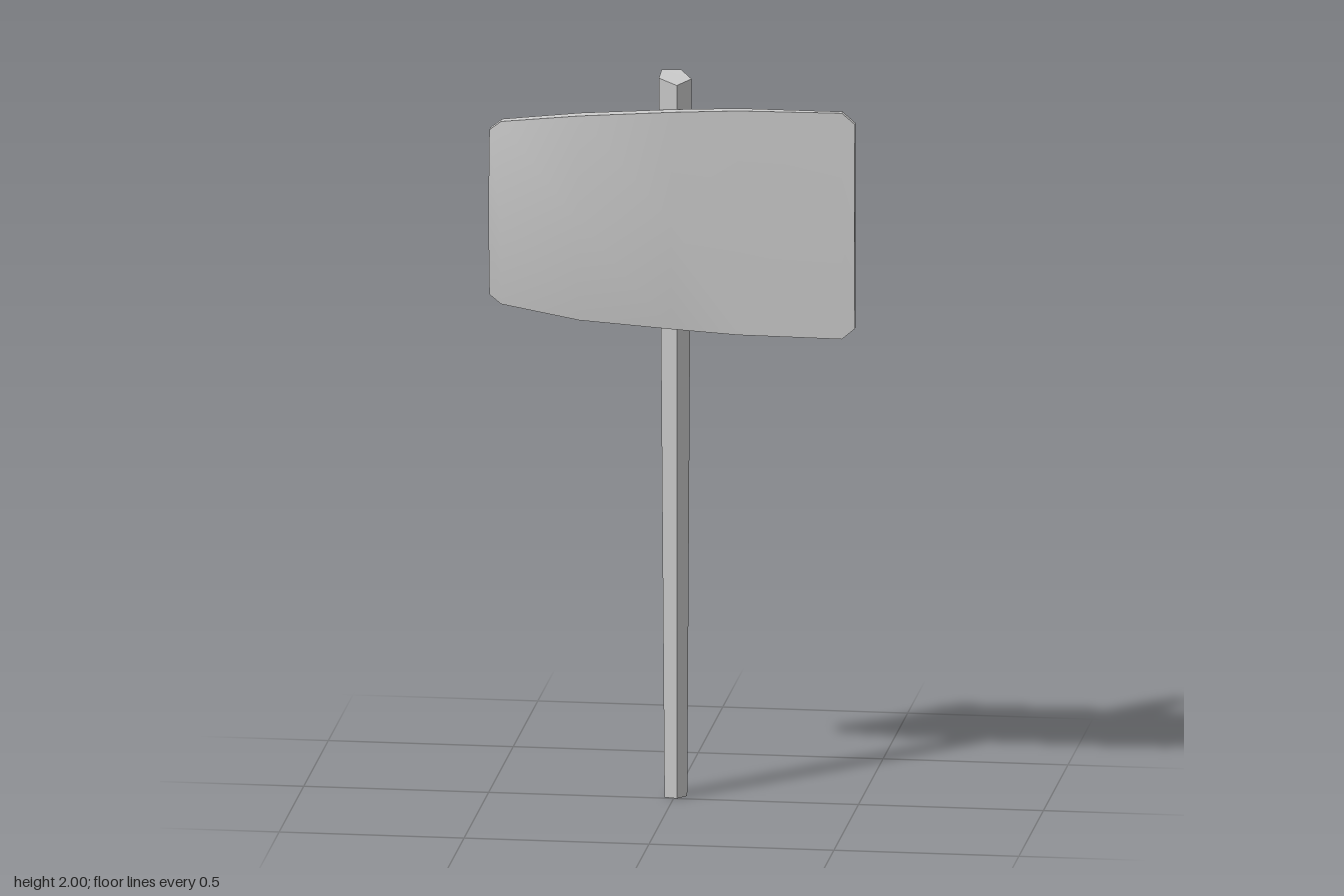
import * as THREE from 'three';
import { toCreasedNormals } from 'three/addons/utils/BufferGeometryUtils.js';

const material = new THREE.MeshStandardMaterial({ color: 0xcccccc });

// Skin equal rings of points (counter-clockwise seen from the last ring) and cap both ends.
function loft(name, rings, cap) {
  const n = rings[0].length;
  const last = (rings.length - 1) * n;
  const index = [];
  for (let i = 0; i < rings.length - 1; i++) {
    for (let k = 0; k < n; k++) {
      const a = i * n + k, b = i * n + (k + 1) % n;
      index.push(a, b, b + n, a, b + n, a + n);
    }
  }
  for (const [a, b, c] of cap) {
    index.push(a, c, b, last + a, last + b, last + c);
  }
  const geometry = new THREE.BufferGeometry();
  geometry.setAttribute('position', new THREE.Float32BufferAttribute(rings.flat(2), 3));
  geometry.setIndex(index);
  const mesh = new THREE.Mesh(toCreasedNormals(geometry, 0.5), material);
  mesh.name = name;
  return mesh;
}

export function createModel() {
  const group = new THREE.Group();
  group.name = 'signpost';

  // Five-sided post, wider at the slanted top: x, top height, z
  const top = [
    [0.044, 1.983, -0.035], [0.01, 1.997, -0.078], [-0.04, 2, -0.06],
    [-0.04, 1.99, -0.004], [0.01, 1.975, 0.01],
  ];
  const bottom = top.map(([x, , z]) => [x * 0.7 + 0.002, 0, z * 0.7 - 0.007]);
  group.add(loft('post', [bottom, top], [[0, 1, 2], [0, 2, 3], [0, 3, 4]]));

  // Warped board: x, top y, bottom y, then z of edge front, mid front, mid back, top back, bottom back
  const columns = [
    [-0.497, 1.835, 1.38, 0.008, 0.03, 0, -0.02, -0.03],
    [-0.465, 1.86, 1.355, 0.012, 0.036, 0.005, -0.017, -0.026],
    [-0.25, 1.89, 1.325, 0.042, 0.075, 0.035, 0.007, 0.004],
    [0, 1.908, 1.308, 0.04, 0.049, 0.01, 0.008, 0.002],
    [0.18, 1.918, 1.298, 0.04, 0.043, 0.002, 0.012, 0.002],
    [0.46, 1.92, 1.295, 0.037, 0.043, 0.02, 0.019, 0.016],
    [0.495, 1.89, 1.325, 0.037, 0.043, 0.02, 0.02, 0.018],
  ];
  const sections = columns.map(([x, yt, yb, edge, midFront, midBack, topBack, bottomBack]) => {
    const ym = (yt + yb) / 2;
    return [
      [x, yt, edge], [x, ym, midFront], [x, yb, edge],
      [x, yb, bottomBack], [x, ym, midBack], [x, yt, topBack],
    ];
  });
  group.add(loft('signBoard', sections, [[0, 1, 4], [0, 4, 5], [1, 2, 3], [1, 3, 4]]));

  return group;
}
